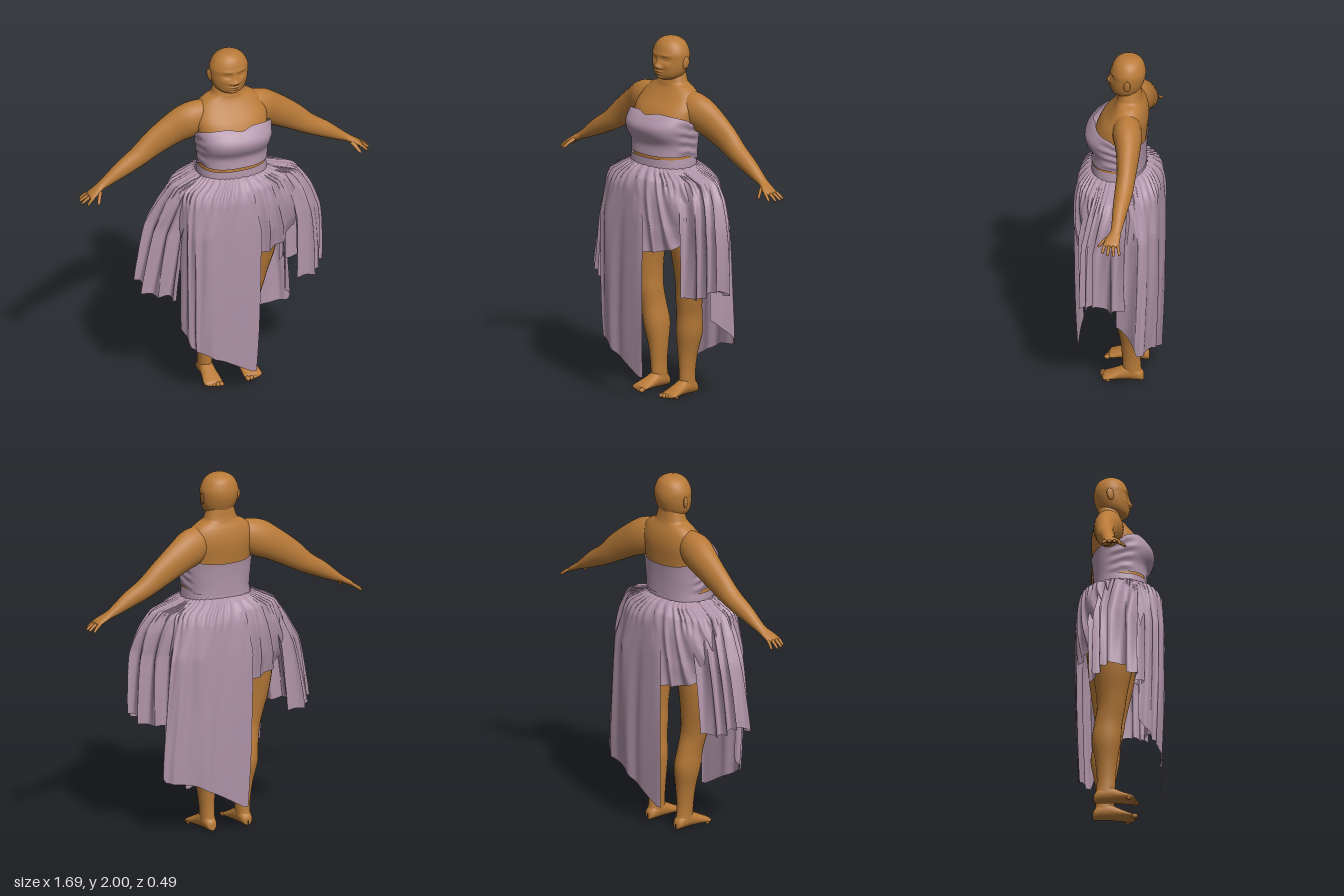
import * as THREE from 'three';
import { mergeVertices } from 'three/addons/utils/BufferGeometryUtils.js';

const skin = new THREE.MeshStandardMaterial({ color: 0xb87a38 });
const cloth = new THREE.MeshStandardMaterial({ color: 0xb094a8, side: THREE.DoubleSide });
const { sin, cos, abs, sign, exp, PI, min, max } = Math;
const TAU = PI * 2;
const power = (c, e) => sign(c) * abs(c) ** e;

// Smooth interpolation through rows of numbers, t from 0 to 1
function spline(rows, t) {
  const f = t * (rows.length - 1), i = min(Math.floor(f), rows.length - 2), k = f - i;
  const at = j => rows[max(0, min(rows.length - 1, j))];
  const [p, a, b, q] = [at(i - 1), at(i), at(i + 1), at(i + 2)];
  return a.map((_, c) => a[c] + 0.5 * k * (b[c] - p[c]
    + k * (2 * p[c] - 5 * a[c] + 4 * b[c] - q[c] + k * (3 * (a[c] - b[c]) + q[c] - p[c]))));
}

// Row values at height y, for rows sorted from the top down
function atHeight(rows, y) {
  let i = 0;
  while (i < rows.length - 2 && rows[i + 1][0] > y) i++;
  const k = max(0, min(1, (rows[i][0] - y) / (rows[i][0] - rows[i + 1][0])));
  return spline(rows, (i + k) / (rows.length - 1));
}

// Grid surface from f(u, v) -> [x, y, z]
function surface(nu, nv, f) {
  const pos = [], idx = [];
  for (let j = 0; j <= nv; j++) for (let i = 0; i <= nu; i++) pos.push(...f(i / nu, j / nv));
  for (let j = 0; j < nv; j++) for (let i = 0; i < nu; i++) {
    const a = j * (nu + 1) + i, b = a + 1, c = a + nu + 1, d = c + 1;
    idx.push(a, b, c, b, d, c);
  }
  let g = new THREE.BufferGeometry();
  g.setAttribute('position', new THREE.Float32BufferAttribute(pos, 3));
  g.setIndex(idx);
  g = mergeVertices(g, 1e-5);
  g.computeVertexNormals();
  return g;
}

function add(parent, name, geometry, material = skin) {
  const m = new THREE.Mesh(geometry, material);
  m.name = name;
  parent.add(m);
  return m;
}

// Upright body from rows [y, centreX, halfWidth, frontZ, backZ], top down
const body = (rows, nu, nv, e = 1, shape = p => p) => surface(nu, nv, (u, v) => {
  const [y, cx, w, zf, zb] = spline(rows, v), a = u * TAU;
  return shape([cx + w * power(cos(a), e), y, (zf + zb) / 2 + (zf - zb) / 2 * power(sin(a), e)], a);
});

// Limb along a path in x and y, from rows [x, y, z, halfThickness, halfDepth]
const limb = (rows, s, nu = 24, nv = 48) => surface(nu, nv, (u, v) => {
  const [x, y, z, h, d] = spline(rows, v), a = u * TAU;
  const p = spline(rows, max(0, v - 0.02)), q = spline(rows, min(1, v + 0.02));
  const t = new THREE.Vector2(s * (q[0] - p[0]), q[1] - p[1]).normalize();
  return [s * x - t.y * h * cos(a), y + t.x * h * cos(a), z + d * sin(a)];
});

function ball(parent, name, x, y, z, sx, sy, sz) {
  const m = add(parent, name, new THREE.SphereGeometry(1, 16, 12));
  m.position.set(x, y, z);
  m.scale.set(sx, sy, sz);
  return m;
}

// Head with a modelled face
function buildHead(g) {
  const rows = [[2, 0, .001, -.045, -.046], [1.992, 0, .045, -.005, -.09], [1.965, 0, .083, .027, -.125],
    [1.92, 0, .106, .045, -.141], [1.88, 0, .107, .047, -.142], [1.84, 0, .102, .047, -.132],
    [1.805, 0, .09, .045, -.118], [1.78, 0, .07, .037, -.108], [1.765, 0, .04, .012, -.09], [1.76, 0, .001, -.03, -.032]];
  // Face bumps: x, y, width, height, depth
  const bumps = [[0, 1.845, .018, .014, .019], [0, 1.868, .012, .025, .009], [.02, 1.84, .01, .009, .01],
    [.042, 1.886, .022, .013, -.013], [.042, 1.887, .014, .007, .009], [.04, 1.908, .03, .009, .005],
    [0, 1.816, .027, .006, .011], [0, 1.802, .023, .006, .01], [0, 1.779, .024, .011, .007], [.05, 1.85, .025, .02, .006]];
  const head = add(g, 'head', body(rows, 72, 90, 1, (p, a) => {
    if (sin(a) > 0) for (const [x, y, w, h, d] of bumps) for (const s of x ? [1, -1] : [1])
      p[2] += d * sin(a) * exp(-(((p[0] - s * x) / w) ** 2) - ((p[1] - y) / h) ** 2);
    return p;
  }));
  head.position.x = .025;
  for (const s of [1, -1]) {
    const ear = ball(g, 'ear', .025 + s * .108, 1.865, -.055, .009, .034, .021);
    ear.rotation.set(-.2, s * -.35, s * -.12);
  }
}

function buildTorso(g) {
  add(g, 'torso', body([[1.82, .025, .072, -.005, -.115], [1.77, .025, .088, .002, -.12], [1.745, .025, .1, .008, -.125],
    [1.728, .025, .135, .012, -.13], [1.7, .025, .17, .028, -.142], [1.66, .025, .194, .058, -.152], [1.61, .025, .205, .1, -.156],
    [1.54, .025, .198, .13, -.15], [1.45, .025, .183, .125, -.14], [1.36, .025, .18, .138, -.13], [1.25, .02, .2, .14, -.15],
    [1.1, .01, .25, .15, -.18], [.95, .01, .24, .11, -.18], [.88, .01, .12, .03, -.13], [.87, .01, .001, -.05, -.06]], 64, 80, .85));
}

function buildArm(g, s) {
  const arm = new THREE.Group();
  arm.name = s > 0 ? 'leftArm' : 'rightArm';
  arm.position.x = s > 0 ? .015 : 0;
  add(arm, 'armAndPalm', limb([[.03, 1.645, -.055, .05, .03], [.12, 1.632, -.06, .086, .07], [.2, 1.603, -.068, .102, .08],
    [.29, 1.557, -.084, .09, .066], [.4, 1.488, -.092, .075, .053], [.49, 1.425, -.09, .058, .05], [.59, 1.37, -.084, .046, .041],
    [.67, 1.322, -.08, .03, .032], [.71, 1.3, -.076, .021, .03], [.75, 1.277, -.066, .017, .04],
    [.78, 1.26, -.062, .013, .042], [.792, 1.253, -.062, .002, .03]], s));
  // Four fingers and a thumb, from base to tip
  const digit = (n, x, y, z, X, Y, Z, r) => add(arm, n, limb([[x, y, z, r, r], [(x + X) / 2, (y + Y) / 2 + .004, (z + Z) / 2, r, r],
    [X, Y, Z, r * .75, r * .75], [X + .004, Y - .004, Z, .001, .001]], s, 10, 12));
  for (let i = 0; i < 4; i++)
    digit('finger', .77, 1.263, -.094 + i * .022, [.82, .832, .83, .81][i], 1.228, -.112 + i * .031, .009);
  digit('thumb', .725, 1.285, -.045, .76, 1.238, .008, .011);
  g.add(arm);
}

function buildLeg(g, s) {
  const leg = new THREE.Group();
  leg.name = s > 0 ? 'leftLeg' : 'rightLeg';
  leg.position.x = .008;
  add(leg, 'legAndAnkle', limb([[.15, 1.02, -.04, .12, .14], [.182, .88, -.04, .118, .125], [.18, .75, -.045, .1, .105],
    [.165, .63, -.05, .078, .085], [.152, .55, -.053, .07, .077], [.14, .46, -.068, .064, .076], [.128, .36, -.078, .067, .079],
    [.116, .25, -.078, .053, .06], [.112, .15, -.078, .041, .051], [.11, .09, -.08, .039, .051], [.11, .04, -.085, .035, .048],
    [.11, .025, -.085, .001, .001]], s));
  // Foot rows: z, centre x, half width, top height
  const foot = [[-.147, .11, .001, .04], [-.14, .11, .026, .06], [-.11, .11, .037, .09], [-.06, .11, .04, .1],
    [-.01, .112, .045, .075], [.04, .116, .052, .05], [.07, .116, .048, .035], [.082, .116, .001, .02]];
  add(leg, 'foot', surface(24, 30, (u, v) => {
    const [z, x, w, top] = spline(foot, v), a = u * TAU;
    return [s * x + w * cos(a), .006 + (top - .006) * (.5 + .5 * sin(a)), z];
  }));
  for (let i = 0; i < 5; i++)
    ball(leg, 'toe', s * (.078 + i * .02), .017, .08 - i * i * .0022, .0135 - i * .001, .013, .019 - i * .0015);
  g.add(leg);
}

// Strapless bodice with a sweetheart neckline, longer and lower-cut at the back
function buildBodice(g) {
  const rows = [[1.62, .21, .108, -.163], [1.585, .211, .15, -.162], [1.535, .211, .184, -.158],
    [1.49, .206, .18, -.152], [1.43, .196, .148, -.147], [1.365, .19, .15, -.145]];
  add(g, 'bodice', surface(96, 28, (u, v) => {
    const a = u * TAU, f = sin(a);
    const top = f > 0 ? 1.555 + .05 * Math.sqrt(f) - .014 * exp(-((cos(a) / .16) ** 2)) : 1.555 - .045 * abs(f);
    const y = top + (1.368 - .035 * max(0, -f) ** .5 - top) * v, [, w, zf, zb] = atHeight(rows, y);
    const ruffle = .004 * sin(v * 24) * exp(-(((abs(cos(a)) - 1) / .08) ** 2));
    return [.025 + (w + ruffle) * power(cos(a), .82), y, (zf + zb) / 2 + (zf - zb) / 2 * power(f, .82)];
  }), cloth);
  add(g, 'waistband', body([[1.354, .02, .188, .148, -.14], [1.325, .02, .192, .15, -.141],
    [1.295, .02, .195, .152, -.143]], 64, 6, .85), cloth);
}

// One gathered skirt panel between two angles; rows are [y, halfWidth, halfDepth]
// and square is the exponent of its plan, smaller being boxier
function panel(g, name, { from, to, rows, hem, folds, depth, square, slant = 0, lean = 0, flare = 0, back = 0 }) {
  add(g, name, surface(150, 44, (u, v) => {
    const a = (from + (to - from) * u + lean * v * (1 - u)) * PI / 180;
    const y0 = 1.315 + (hem(u, power(cos(a), square)) - 1.315) * v ** 1.3;
    const drop = min(1, (1.315 - y0) / .3), e = .85 + (square - .85) * drop;
    const X = power(cos(a), e), Z = power(sin(a), e);
    const [, w, d] = atHeight(rows, y0);
    const gather = .006 * sin(a * 40 + 2 * sin(a * 7)) * exp(-(((y0 - 1.26) / .07) ** 2));
    const phase = u * folds * TAU + 1.3 * sin(u * 9) + slant * (1.2 - y0) * (1.2 - u);
    const r = depth * drop * (sin(phase) + .35 * sin(phase * 1.7 + y0 * 5)) + gather;
    const sway = .5 * depth * drop * cos(phase), spread = flare * drop * v * exp(-(((u - .72) / .2) ** 2));
    return [(w + r + spread) * X - sway * Z, y0, (d + r) * Z + sway * X - back * drop * abs(X)];
  }), cloth);
}

// Half of the skirt: long panel, short puffed panel and a flared side drape
function buildSkirtHalf({ name, end, flare, rise, drape }) {
  const half = new THREE.Group();
  half.name = name;
  panel(half, 'longPanel', { from: 84, to: end, folds: 4, depth: .005, square: .52, lean: 2, flare,
    rows: [[1.315, .19, .145], [1.295, .225, .18], [1.25, .3, .212], [1.2, .322, .23], [1, .33, .238],
      [.7, .325, .238], [.4, .318, .23], [.1, .29, .218]],
    hem: (u, X) => .14 + .5 * max(0, .05 - .33 * X) + rise * max(0, u - .7) });
  panel(half, 'puffPanel', { from: 15, to: 88, folds: 5, depth: .01, square: .95, slant: 32,
    rows: [[1.315, .19, .145], [1.295, .23, .18], [1.25, .32, .216], [1.15, .37, .236], [1, .38, .238], [.9, .345, .228], [.8, .32, .22]],
    hem: u => .845 + .1 * (1 - u) ** 2 });
  panel(half, 'sideDrape', { from: 126, to: 234, folds: 6, depth: .02, square: .75, back: .04,
    rows: [[1.315, .19, .125], [1.295, .23, .13], [1.25, drape[0], .14], [1.15, drape[1], .155], [1, drape[2], .16],
      [.8, drape[3], .163], [.6, drape[4], .165]],
    hem: u => .63 + .03 * cos((u - .55) * 5) + .012 * sin(u * 14) });
  return half;
}

export function createModel() {
  const g = new THREE.Group();
  g.name = 'womanInGown';
  buildHead(g);
  buildTorso(g);
  for (const s of [1, -1]) {
    buildArm(g, s);
    buildLeg(g, s);
  }
  buildBodice(g);
  // The skirt repeats half a turn around, with a fuller drape on the left
  const front = buildSkirtHalf({ name: 'frontSkirt', end: 170, flare: 0, rise: .28, drape: [.325, .385, .445, .485, .515] });
  const back = buildSkirtHalf({ name: 'backSkirt', end: 179, flare: .12, rise: .45, drape: [.375, .445, .48, .49, .49] });
  back.rotation.y = PI;
  for (const half of [front, back]) {
    half.position.x = .01;
    g.add(half);
  }
  return g;
}
